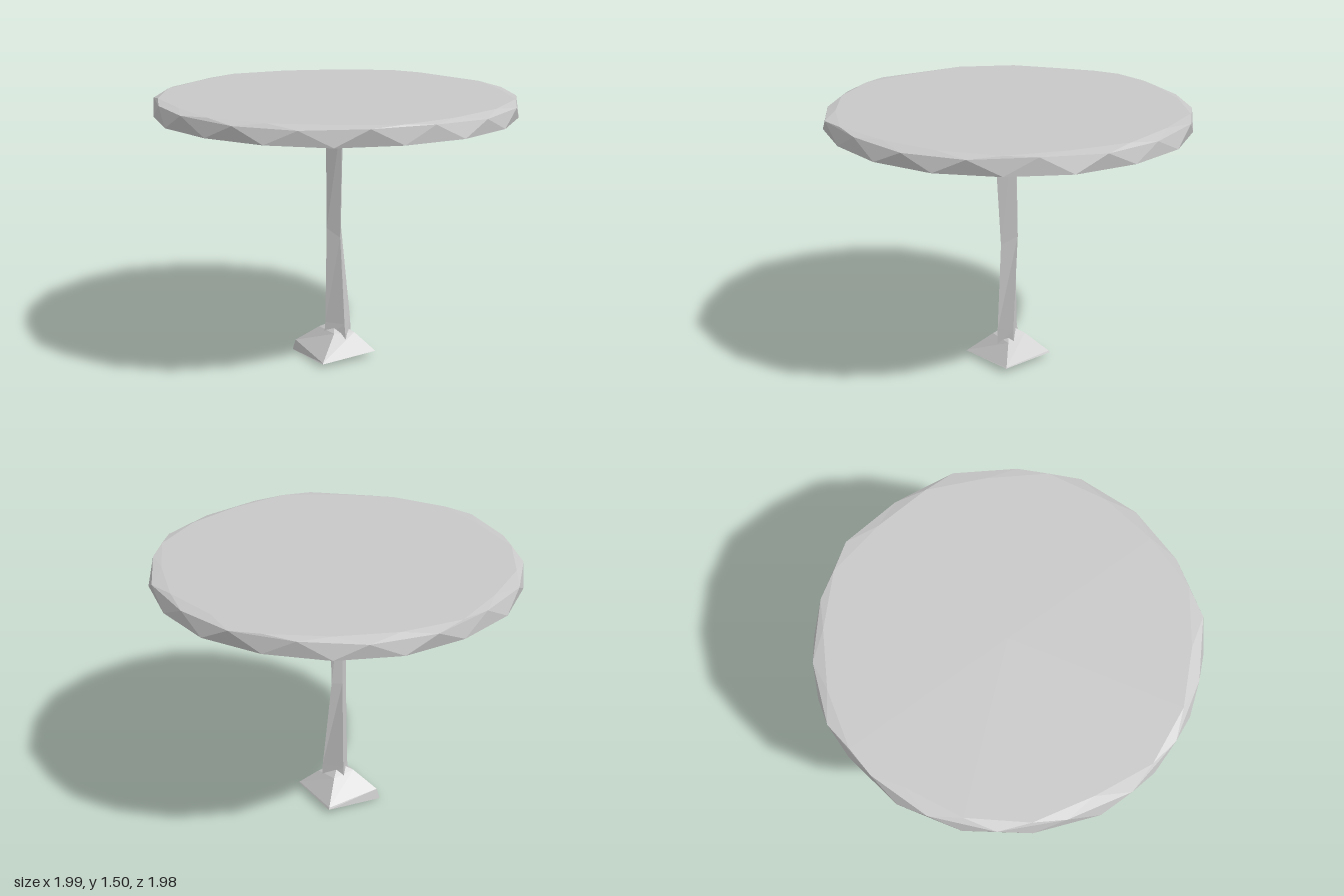
import * as THREE from 'three';

// Joins rings of [x, y, z] points, listed bottom to top and turning from +x to +z, into a closed faceted solid.
function loft(rings, bottomCentre, topCentre) {
  const pos = [];
  const tri = (a, b, c) => pos.push(...a, ...b, ...c);
  const n = rings[0].length;
  const last = rings[rings.length - 1];
  for (let i = 0; i < n; i++) {
    const j = (i + 1) % n;
    tri(bottomCentre, rings[0][i], rings[0][j]);
    for (let r = 0; r < rings.length - 1; r++) {
      const lo = rings[r], hi = rings[r + 1];
      tri(lo[i], hi[i], lo[j]);
      tri(hi[i], hi[j], lo[j]);
    }
    tri(topCentre, last[j], last[i]);
  }
  const geo = new THREE.BufferGeometry();
  geo.setAttribute('position', new THREE.Float32BufferAttribute(pos, 3));
  geo.computeVertexNormals();
  return geo;
}

// Slightly uneven ring for the tabletop
function discRing(radius, y, shift, rough, lift = 0) {
  const sides = 18;
  return Array.from({ length: sides }, (_, i) => {
    const t = ((i + shift) / sides) * Math.PI * 2;
    const r = radius + rough * Math.sin(i * 2.3 + shift * 5);
    return [r * Math.cos(t), y + lift * Math.sin(i * 1.7), r * Math.sin(t)];
  });
}

export function createModel() {
  const stone = new THREE.MeshStandardMaterial({ color: 0xc8c8c8 });
  stone.name = 'paleGrey';
  stone.flatShading = true;

  const model = new THREE.Group();
  model.name = 'roundTable';
  const add = (name, geo) => {
    const mesh = new THREE.Mesh(geo, stone);
    mesh.name = name;
    model.add(mesh);
  };

  // Tabletop: chipped rim made of alternating triangles
  add('tabletop', loft([
    discRing(0.992, 1.4, 0, 0.006),
    discRing(0.988, 1.483, 0.5, 0.012, 0.008),
    discRing(0.945, 1.498, 1, 0.025),
  ], [0, 1.4, 0], [0, 1.5, 0]));

  // Three-cornered collar under the tabletop
  add('collar', loft([
    [[0.04, 1.37, 0.02], [-0.06, 1.385, 0.06], [-0.02, 1.36, -0.06]],
    [[0.25, 1.402, 0.04], [-0.18, 1.402, 0.13], [-0.08, 1.402, -0.19]],
  ], [-0.01, 1.37, 0.01], [0, 1.402, 0]));

  // Post: uneven four-sided column, corners right, front, left, back
  add('post', loft([
    [[0.08, 0.1, 0.03], [0.01, 0.1, 0.095], [-0.08, 0.1, 0], [-0.01, 0.1, -0.075]],
    [[0.075, 0.2, 0.03], [0.005, 0.2, 0.088], [-0.07, 0.2, 0], [-0.01, 0.2, -0.062]],
    [[0.045, 0.75, -0.025], [-0.005, 0.7, 0.055], [-0.06, 0.75, 0], [-0.01, 0.75, -0.05]],
    [[0.045, 1.4, 0], [-0.015, 1.4, 0.095], [-0.07, 1.4, 0.01], [-0.01, 1.4, -0.055]],
  ], [0, 0.1, 0], [0, 1.4, 0.01]));

  // Foot: squarish flared base with a tilted underside
  add('foot', loft([
    [[0.168, 0.033, 0.155], [-0.182, 0.022, 0.172], [-0.186, 0, -0.18], [0.15, 0.03, -0.18]],
    [[0.165, 0.038, 0.15], [-0.178, 0.027, 0.168], [-0.175, 0.06, -0.165], [0.145, 0.04, -0.175]],
    [[0.08, 0.135, 0.07], [-0.055, 0.15, 0.075], [-0.08, 0.16, -0.055], [0.055, 0.15, -0.07]],
  ], [0.04, 0, 0.03], [-0.01, 0.2, 0]));

  return model;
}
